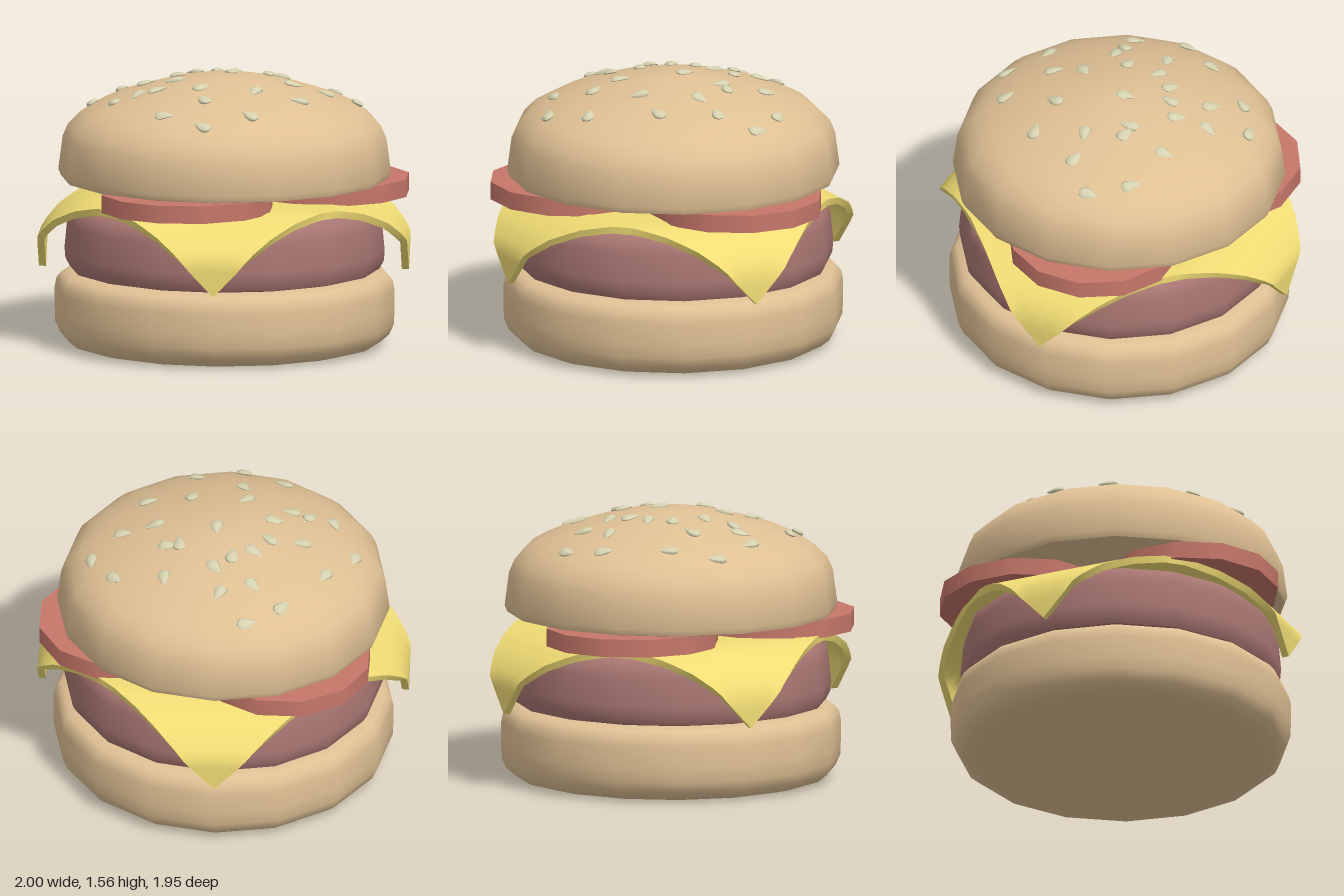
import * as THREE from 'three';
import { toCreasedNormals } from 'three/addons/utils/BufferGeometryUtils.js';

const CX = 0.045, CZ = -0.015; // axis of the stacked round layers
const mat = (color) => new THREE.MeshStandardMaterial({ color });

// Piecewise linear lookup in rows of [key, value, ...]
function sample(rows, key, col) {
  let i = 1;
  while (i < rows.length - 1 && rows[i][0] < key) i++;
  const a = rows[i - 1], b = rows[i];
  return a[col] + (b[col] - a[col]) * (key - a[0]) / (b[0] - a[0]);
}

// Round layer with 16 sides from a profile of [radius, y], bottom to top
function layer(name, profile, material) {
  const points = profile.map(([r, y]) => new THREE.Vector2(r, y));
  const geometry = toCreasedNormals(new THREE.LatheGeometry(points, 16), 0.85);
  const mesh = new THREE.Mesh(geometry, material);
  mesh.name = name;
  mesh.position.set(CX, 0, CZ);
  return mesh;
}

// Dome of the top bun, from the centre outwards: [radius, y]
const DOME = [[0, 1.54], [0.15, 1.528], [0.33, 1.495], [0.5, 1.448], [0.63, 1.405],
  [0.74, 1.355], [0.81, 1.315], [0.88, 1.245], [0.91, 1.175]];

// Cheese fold: distance along the sheet's diagonal -> [distance, outward, height]
const FOLD = [[0, 0, 0.835], [0.68, 0.68, 0.835], [0.82, 0.815, 0.795], [0.95, 0.935, 0.725],
  [1.07, 1.02, 0.63], [1.26, 1.02, 0.43]];

// Square slice whose four corners fold down over the patty
function makeCheese() {
  const half = 0.89, thick = 0.04;
  const geometry = new THREE.BoxGeometry(2 * half, thick, 2 * half, 28, 1, 28);
  const pos = geometry.attributes.position;
  for (let i = 0; i < pos.count; i++) {
    const x = pos.getX(i), z = pos.getZ(i), offset = pos.getY(i);
    const along = (Math.abs(x) + Math.abs(z)) / Math.SQRT2;
    const across = (Math.abs(x) - Math.abs(z)) / Math.SQRT2;
    const lo = Math.max(along - 0.04, 0), hi = Math.min(along + 0.04, 1.26);
    const ds = sample(FOLD, hi, 1) - sample(FOLD, lo, 1);
    const dy = sample(FOLD, hi, 2) - sample(FOLD, lo, 2);
    const len = Math.hypot(ds, dy);
    const s = sample(FOLD, along, 1) - offset * dy / len;
    const y = sample(FOLD, along, 2) + offset * ds / len;
    pos.setXYZ(i, Math.sign(x) * (s + across) / Math.SQRT2, y,
      Math.sign(z) * (s - across) / Math.SQRT2);
  }
  geometry.computeVertexNormals();
  const mesh = new THREE.Mesh(geometry, mat(0xf0dc74));
  mesh.name = 'cheeseSlice';
  mesh.position.set(CX - 0.005, 0, CZ);
  return mesh;
}

// Sesame seeds: [x, z, heading of the tip in degrees]
const SEEDS = [
  [0.21, -0.69, -90], [0.45, -0.65, -135], [-0.04, -0.54, -135], [-0.59, -0.41, -30],
  [-0.35, -0.40, -160], [0.45, -0.41, -60], [-0.20, -0.30, -100], [0.13, -0.36, -60],
  [0.09, -0.31, 50], [0.34, -0.27, 150], [-0.63, -0.18, 10], [-0.43, -0.22, -90],
  [-0.20, -0.17, 40], [-0.25, -0.05, -80], [0.03, -0.08, -135], [0.58, -0.10, -40],
  [-0.22, 0.09, 100], [0.40, 0.07, 30], [-0.58, 0.19, -160], [-0.33, 0.24, 150],
  [-0.10, 0.24, -50], [0.16, 0.26, 180], [0.61, 0.30, -90], [-0.07, 0.39, 140],
  [0.30, 0.37, -110], [-0.53, 0.46, -150], [-0.15, 0.47, 10], [-0.25, 0.56, -110],
  [0.25, 0.62, 120], [0.51, 0.57, -90],
];

function makeSeeds() {
  const group = new THREE.Group();
  group.name = 'sesameSeeds';
  // Flattened teardrop, wide at the back and pointed towards +z
  const geometry = new THREE.SphereGeometry(1, 8, 6).rotateX(Math.PI / 2);
  const pos = geometry.attributes.position;
  for (let i = 0; i < pos.count; i++) {
    const z = pos.getZ(i), taper = 0.72 - 0.45 * z;
    pos.setXYZ(i, pos.getX(i) * taper * 0.045, pos.getY(i) * taper * 0.022, z * 0.056);
  }
  geometry.computeVertexNormals();
  const material = mat(0xd6d2b0);
  for (const [x, z, degrees] of SEEDS) {
    const dx = x - CX, dz = z - CZ, r = Math.hypot(dx, dz), a = degrees * Math.PI / 180;
    const slope = (sample(DOME, r + 0.05, 1) - sample(DOME, Math.max(r - 0.05, 0), 1)) / 0.1;
    const up = new THREE.Vector3(-slope * dx / r, 1, -slope * dz / r).normalize();
    const right = up.clone().cross(new THREE.Vector3(Math.sin(a), 0, Math.cos(a))).normalize();
    const tip = right.clone().cross(up);
    const seed = new THREE.Mesh(geometry, material);
    seed.name = 'seed';
    seed.quaternion.setFromRotationMatrix(new THREE.Matrix4().makeBasis(right, up, tip));
    seed.position.set(x, sample(DOME, r, 1) + 0.003, z);
    group.add(seed);
  }
  return group;
}

export function createModel() {
  const model = new THREE.Group();
  model.name = 'hamburger';
  const bread = mat(0xdfc094);

  // Stacked round layers
  model.add(layer('bottomBun', [[0, 0], [0.8, 0], [0.875, 0.018], [0.925, 0.06], [0.952, 0.12],
    [0.955, 0.2], [0.955, 0.32], [0.945, 0.37], [0.915, 0.405], [0.86, 0.42], [0, 0.42]], bread));
  model.add(layer('patty', [[0, 0.42], [0.8, 0.42], [0.87, 0.435], [0.895, 0.48], [0.9, 0.54],
    [0.885, 0.7], [0.87, 0.76], [0.82, 0.8], [0.74, 0.815], [0, 0.815]], mat(0xa87672)));
  model.add(makeCheese());

  // Three overlapping tomato slices
  const slice = new THREE.CylinderGeometry(0.49, 0.49, 0.1, 12);
  const red = mat(0xc6776a);
  [[-0.51, -0.05], [0.285, 0.48], [0.35, -0.485]].forEach(([x, z], i) => {
    const mesh = new THREE.Mesh(slice, red);
    mesh.name = 'tomatoSlice' + (i + 1);
    mesh.position.set(x, 0.892 + i * 0.001, z); // tiny steps keep the overlaps clean
    model.add(mesh);
  });

  // Domed top bun and its seeds
  model.add(layer('topBun', [[0, 0.942], [0.88, 0.942], [0.92, 0.95], [0.935, 0.985],
    ...DOME.slice().reverse()], bread));
  model.add(makeSeeds());
  return model;
}
